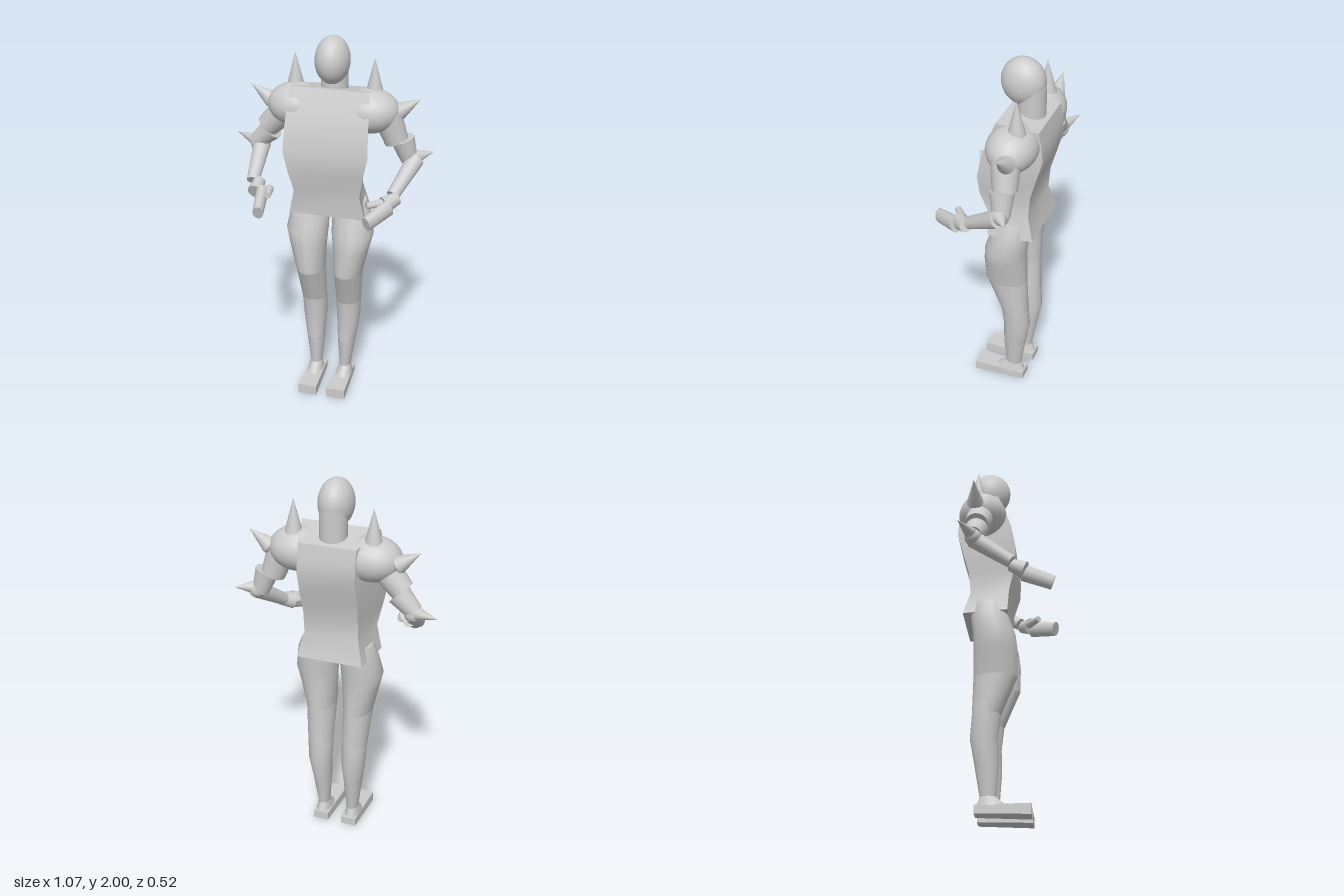
import * as THREE from 'three';

const material = new THREE.MeshStandardMaterial({ color: 0xcccccc });
const vec = (p, s) => new THREE.Vector3(p[0] * -s, p[1], p[2]); // s = -1 right, 1 left

function part(parent, name, geometry) {
  const mesh = new THREE.Mesh(geometry, material);
  mesh.name = name;
  parent.add(mesh);
  return mesh;
}

function ellipsoid(parent, name, center, radii) {
  const mesh = part(parent, name, new THREE.SphereGeometry(1, 32, 20));
  mesh.position.copy(center);
  mesh.scale.set(...radii);
  return mesh;
}

// Vertical stack of elliptical rings [x, y, z, rx, rz], listed from the bottom up
function loft(parent, name, rings, s) {
  const geo = new THREE.CylinderGeometry(1, 1, 1, 18, rings.length - 1);
  const pos = geo.attributes.position;
  for (let i = 0; i < pos.count; i++) {
    const [x, y, z, rx, rz] = rings[Math.round((pos.getY(i) + 0.5) * (rings.length - 1))];
    pos.setXYZ(i, -s * x + pos.getX(i) * rx, y, z + pos.getZ(i) * rz);
  }
  geo.computeVertexNormals();
  return part(parent, name, geo);
}

// Tapered limb from a to b; width squashes it sideways
function limb(parent, name, a, b, ra, rb, width = 1) {
  const geo = new THREE.CylinderGeometry(rb, ra, a.distanceTo(b), 18).rotateX(Math.PI / 2);
  const mesh = part(parent, name, geo);
  mesh.position.copy(a).lerp(b, 0.5);
  mesh.lookAt(b);
  mesh.scale.x = width;
  return mesh;
}

// Cone with a rounded base
function spike(parent, name, base, tip, r) {
  const length = base.distanceTo(tip);
  const profile = [[0, -0.6 * r], [0.55 * r, -0.48 * r], [0.88 * r, -0.25 * r], [r, 0], [0, length]];
  const geo = new THREE.LatheGeometry(profile.map(p => new THREE.Vector2(...p)), 20);
  const mesh = part(parent, name, geo);
  mesh.position.copy(base);
  mesh.quaternion.setFromUnitVectors(new THREE.Vector3(0, 1, 0), tip.clone().sub(base).normalize());
}

function torso(parent) {
  // front y, front z, back y, back z, front half-width, back half-width
  const rows = [
    [1.06, 0.013, 1.06, -0.22, 0.203, 0.175],
    [1.19, 0.02, 1.19, -0.185, 0.175, 0.145],
    [1.31, 0.053, 1.31, -0.195, 0.198, 0.145],
    [1.42, 0.057, 1.42, -0.225, 0.222, 0.15],
    [1.54, 0.035, 1.54, -0.257, 0.218, 0.15],
    [1.64, 0.002, 1.62, -0.25, 0.212, 0.15],
    [1.742, -0.037, 1.7, -0.235, 0.207, 0.15],
  ];
  const geo = new THREE.BoxGeometry(2, 1, 1, 1, rows.length - 1, 1);
  const pos = geo.attributes.position;
  for (let i = 0; i < pos.count; i++) {
    const [yf, zf, yb, zb, wf, wb] = rows[Math.round((pos.getY(i) + 0.5) * (rows.length - 1))];
    const front = pos.getZ(i) > 0;
    pos.setXYZ(i, pos.getX(i) * (front ? wf : wb), front ? yf : yb, front ? zf : zb);
  }
  geo.computeVertexNormals();
  part(parent, 'torso', geo);
}

function leg(parent, s) {
  const g = new THREE.Group();
  g.name = s > 0 ? 'leftLeg' : 'rightLeg';
  parent.add(g);
  const knee = [-0.103, 0.72, -0.055, 0.076, 0.113];
  const calf = [-0.096, 0.52, -0.1, 0.068, 0.074];
  const shin = [-0.088, 0.27, -0.098, 0.049, 0.062];
  const ankle = [-0.083, 0.1, -0.09, 0.031, 0.042];
  loft(g, 'thigh', [knee, [-0.116, 0.86, -0.054, 0.096, 0.114], [-0.123, 0.95, -0.06, 0.112, 0.11],
    [-0.113, 1.06, -0.085, 0.103, 0.099], [-0.108, 1.13, -0.09, 0.08, 0.09]], s);
  loft(g, 'knee', [calf, knee], s);
  loft(g, 'calf', [shin, [-0.094, 0.4, -0.111, 0.063, 0.072], calf], s);
  loft(g, 'lowerShin', [ankle, shin], s);
  loft(g, 'ankle', [[-0.083, 0.05, -0.072, 0.044, 0.083], ankle], s);

  // Foot narrows and lifts slightly at the heel
  const geo = new THREE.BoxGeometry(0.103, 0.055, 0.28);
  const pos = geo.attributes.position;
  for (let i = 0; i < pos.count; i++) {
    if (pos.getZ(i) > 0) continue;
    pos.setX(i, pos.getX(i) * 0.8);
    if (pos.getY(i) < 0) pos.setY(i, pos.getY(i) + 0.012);
  }
  geo.computeVertexNormals();
  part(g, 'foot', geo).position.set(s * 0.08, 0.0275, -0.017);
}

function arm(parent, s) {
  const g = new THREE.Group();
  g.name = s > 0 ? 'leftArm' : 'rightArm';
  parent.add(g);
  const at = (x, y, z) => vec([x, y, z], s);
  const elbow = at(-0.413, 1.37, -0.145);
  const wrist = at(-0.37, 1.235, 0.045);
  const palm = at(-0.335, 1.205, 0.11);

  ellipsoid(g, 'shoulder', at(-0.19, 1.62, -0.118), [0.155, 0.115, 0.127]);
  limb(g, 'upperArm', at(-0.265, 1.595, -0.122), at(-0.345, 1.47, -0.135), 0.075, 0.062);
  limb(g, 'lowerUpperArm', at(-0.345, 1.47, -0.135), elbow, 0.062, 0.044);
  ellipsoid(g, 'elbow', elbow, [0.045, 0.045, 0.045]);
  limb(g, 'forearm', elbow, wrist, 0.046, 0.033);
  limb(g, 'palm', wrist, palm, 0.033, 0.046, 0.9);
  limb(g, 'fingers', palm, at(-0.278, 1.157, 0.25), 0.046, 0.04, 0.7);
  limb(g, 'thumb', at(-0.305, 1.215, 0.085), at(-0.252, 1.215, 0.16), 0.022, 0.016);

  spike(g, 'topShoulderSpike', at(-0.207, 1.71, -0.146), at(-0.207, 1.888, -0.142), 0.046);
  spike(g, 'outerShoulderSpike', at(-0.338, 1.622, -0.145), at(-0.446, 1.695, -0.143), 0.046);
  spike(g, 'elbowSpike', at(-0.435, 1.38, -0.155), at(s > 0 ? -0.513 : -0.555, 1.392, -0.21), 0.034);
}

export function createModel() {
  const model = new THREE.Group();
  model.name = 'figure';
  const body = new THREE.Group();
  body.name = 'body';
  body.position.x = 0.018;
  model.add(body);

  ellipsoid(body, 'head', new THREE.Vector3(0, 1.877, -0.098), [0.089, 0.123, 0.112]);
  const neck = part(body, 'neck', new THREE.CylinderGeometry(0.07, 0.07, 0.19, 28));
  neck.position.set(0, 1.765, -0.142);
  torso(body);
  for (const s of [-1, 1]) {
    leg(body, s);
    arm(body, s);
  }
  return model;
}
